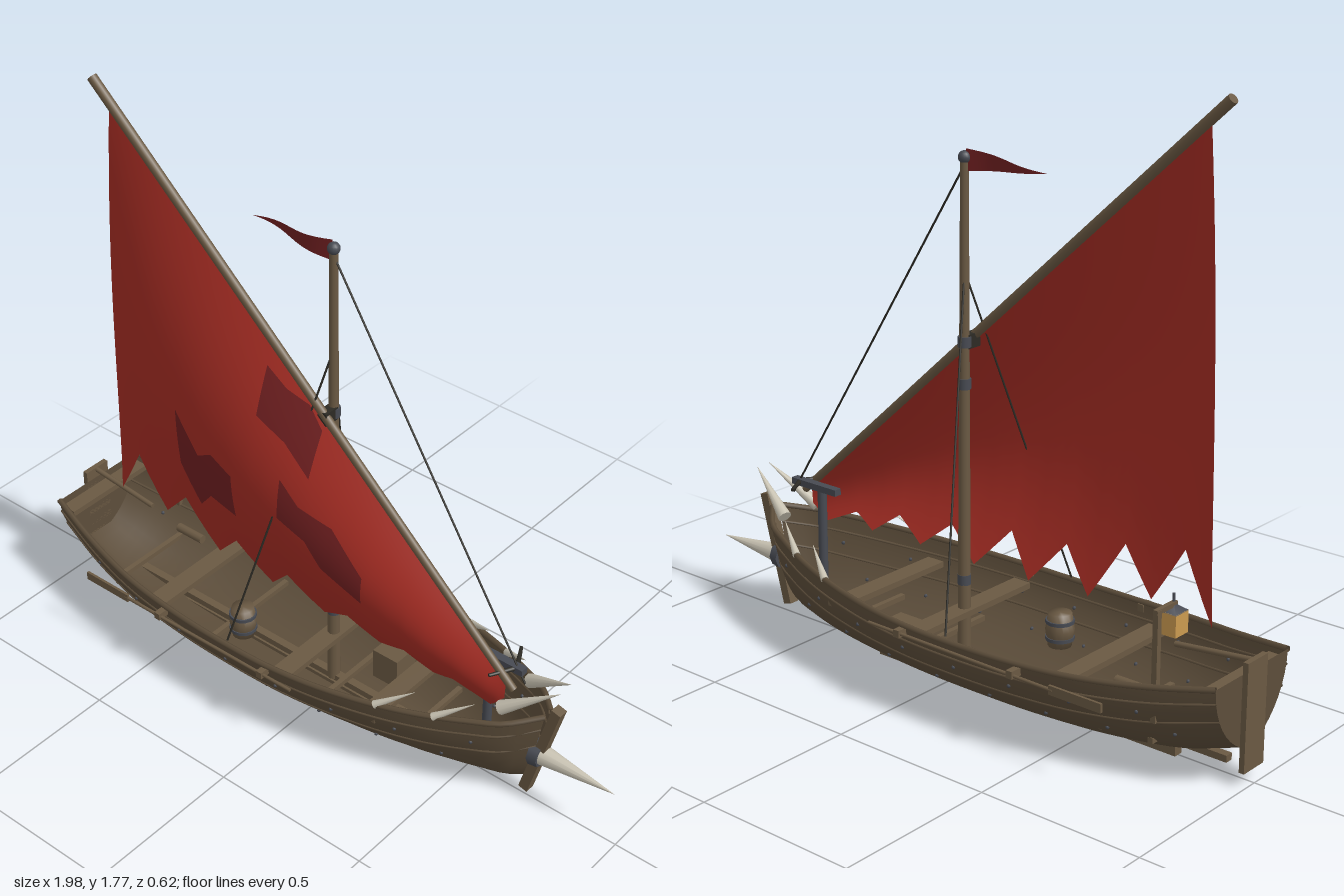
import * as THREE from 'three';

const mat = (name, color, side = THREE.FrontSide) => {
  const m = new THREE.MeshStandardMaterial({ color, side });
  m.name = name;
  return m;
};
const V = (x, y, z) => new THREE.Vector3(x, y, z);

export function createModel() {
  const root = new THREE.Group();
  root.name = 'raidingBoat';
  const hullWood = mat('hullWood', 0x5c4d3a, THREE.DoubleSide);
  const trimWood = mat('trimWood', 0x6a5943);
  const sailRed = mat('sailRed', 0xa42c23, THREE.DoubleSide);
  const darkRed = mat('darkRed', 0x6f1f20, THREE.DoubleSide);
  const bone = mat('bone', 0xc8c2b2);
  const iron = mat('iron', 0x474a52);
  const rope = mat('rope', 0x2c2a24);
  const glow = mat('lanternGlow', 0xcb9a50);

  const add = (name, geo, material, x = 0, y = 0, z = 0) => {
    const m = new THREE.Mesh(geo, material);
    m.name = name;
    m.position.set(x, y, z);
    root.add(m);
    return m;
  };
  const box = (name, material, w, h, d, x, y, z) =>
    add(name, new THREE.BoxGeometry(w, h, d), material, x, y, z);
  const drum = (name, material, r1, r2, h, x, y, z) =>
    add(name, new THREE.CylinderGeometry(r1, r2, h, 14), material, x, y, z);
  // round bar from p (radius r1) to q (radius r2)
  const bar = (name, material, p, q, r1, r2 = r1, sides = 10) => {
    const m = add(name, new THREE.CylinderGeometry(r2, r1, p.distanceTo(q), sides), material);
    m.position.copy(p).lerp(q, 0.5);
    m.quaternion.setFromUnitVectors(V(0, 1, 0), q.clone().sub(p).normalize());
    return m;
  };
  // surface over a grid of points fn(i, j)
  const grid = (nu, nv, fn) => {
    const pos = [], idx = [];
    for (let i = 0; i <= nu; i++) for (let j = 0; j <= nv; j++) {
      pos.push(...fn(i, j));
      if (i < nu && j < nv) {
        const a = i * (nv + 1) + j, b = a + nv + 1;
        idx.push(a, b, a + 1, b, b + 1, a + 1);
      }
    }
    const g = new THREE.BufferGeometry();
    g.setAttribute('position', new THREE.Float32BufferAttribute(pos, 3));
    g.setIndex(idx);
    g.computeVertexNormals();
    return g;
  };

  // Hull: bottom height, sheer height and half width along x
  const stations = [-0.98, -0.8, -0.6, -0.4, -0.2, 0, 0.2, 0.4, 0.55, 0.65, 0.69];
  const lines = new THREE.CubicInterpolant(stations, [
    0.11, 0.315, 0.165, 0.055, 0.287, 0.215, 0.03, 0.268, 0.258, 0.02, 0.258, 0.277,
    0.018, 0.255, 0.283, 0.018, 0.258, 0.278, 0.02, 0.268, 0.252, 0.025, 0.285, 0.2,
    0.04, 0.305, 0.135, 0.06, 0.322, 0.07, 0.075, 0.335, 0.015], 3, new Float32Array(3));
  // a runs from 0 at the bottom to 1 at the sheer
  const hullPoint = (x, a, side, out = 0) => {
    const [b, s, w] = lines.evaluate(x);
    const k = Math.max(0, (x - 0.2) / 0.49);
    const rise = 0.5 * a + 0.5 * (1 - Math.cos(a * Math.PI / 2));
    return V(x + 0.06 * a * k * k, b + (s - b) * rise,
      side * (w * (0.25 + 0.75 * Math.sin(a * Math.PI / 2)) + out));
  };
  const N = 48, R = 8;
  const stationX = i => -0.98 + 1.67 * i / N;
  const ringPoint = (x, j) => j <= R ? hullPoint(x, 1 - j / R, 1) : hullPoint(x, (j - R - 1) / R, -1);
  add('hull', grid(N, 2 * R + 1, (i, j) => ringPoint(stationX(i), j).toArray()), hullWood);
  add('transom', grid(1, R, (i, j) => hullPoint(-0.98, j / R, i ? 1 : -1).toArray()), hullWood);

  for (const s of [1, -1]) {
    // gunwale and plank seams
    for (const [a, r, name] of [[1, 0.009, 'gunwale'], [0.84, 0.004, 'plankSeam'], [0.62, 0.004, 'plankSeam']]) {
      const pts = Array.from({ length: 25 }, (_, i) => hullPoint(-0.98 + 1.67 * i / 24, a, s));
      add(name, new THREE.TubeGeometry(new THREE.CatmullRomCurve3(pts), 60, r, 6), hullWood);
    }
    // hull rivets
    for (let i = 0; i < 8; i++) for (const a of [0.45, 0.74]) {
      const p = hullPoint(-0.85 + 0.19 * i + (a > 0.5 ? 0.08 : 0), a, s);
      add('rivet', new THREE.SphereGeometry(0.006, 6, 5), iron, p.x, p.y, p.z);
    }
    // oar lashed outside the rail
    bar('oarShaft', trimWood, V(-0.57, 0.235, 0.3 * s), V(0.08, 0.24, 0.3 * s), 0.005);
    box('oarBlade', trimWood, 0.17, 0.026, 0.008, -0.642, 0.235, 0.3 * s);
    for (const x of [-0.43, -0.03]) box('oarBracket', trimWood, 0.02, 0.022, 0.04, x, 0.24, 0.29 * s);
    // rail spikes and bow horns
    for (const x of [0.32, 0.47]) {
      const p = hullPoint(x, 1, s);
      bar('railSpike', bone, p, V(p.x + 0.1, p.y + 0.065, p.z - 0.055 * s), 0.012, 0.0005);
    }
    bar('bowHorn', bone, V(0.64, 0.345, 0.07 * s), V(0.8, 0.455, 0.025 * s), 0.021, 0.0005);
    // shroud
    bar('shroud', rope, V(-0.01, 1.2, 0), V(-0.18, 0.265, 0.275 * s), 0.003, 0.003, 6);
  }

  // Keel, stem, rudder and tiller
  box('keel', trimWood, 1.2, 0.03, 0.03, -0.16, 0.015, 0);
  box('stem', trimWood, 0.03, 0.35, 0.032, 0.74, 0.2, 0).rotation.z = -0.26;
  box('rudder', trimWood, 0.016, 0.31, 0.09, -0.988, 0.195, 0);
  bar('tiller', trimWood, V(-0.99, 0.342, 0), V(-0.74, 0.315, 0), 0.008);
  box('keelson', trimWood, 1.5, 0.02, 0.025, -0.17, 0.045, 0);

  // Benches and ribs
  for (const [x, w] of [[-0.505, 0.06], [-0.01, 0.06], [0.29, 0.06]])
    box('bench', trimWood, w, 0.018, 1.86 * lines.evaluate(x)[2], x, 0.205, 0);
  box('sternBench', trimWood, 0.05, 0.018, 0.32, -0.95, 0.285, 0);
  for (const x of [-0.77, -0.62, -0.355, 0.07, 0.355])
    box('rib', trimWood, 0.016, 0.016, 1.3 * lines.evaluate(x)[2], x, 0.1, 0);

  // Ram
  bar('ramSpike', bone, V(0.73, 0.18, 0), V(0.98, 0.18, 0), 0.032, 0.0005, 12);
  bar('ramCollar', iron, V(0.715, 0.18, 0), V(0.745, 0.18, 0), 0.042, 0.038, 8);

  // Mast and yard
  bar('mast', trimWood, V(-0.01, 0.04, 0), V(-0.01, 1.5, 0), 0.02, 0.012);
  for (const y of [0.3, 0.88, 1.0]) drum('mastBand', iron, 0.019, 0.019, 0.03, -0.01, y, 0);
  add('mastCap', new THREE.SphereGeometry(0.018, 14, 10), iron, -0.01, 1.512, 0);
  bar('yard', trimWood, V(-0.83, 1.755, 0.04), V(0.66, 0.4, 0.04), 0.015, 0.012);
  box('yardLashing', rope, 0.03, 0.04, 0.05, -0.01, 1.0, 0.025);
  bar('forestay', rope, V(-0.01, 1.49, 0), V(0.67, 0.4, 0), 0.003, 0.003, 6);

  // Sail: one belly rule shared by the cloth and its patches
  const yardY = x => 1.001 - 0.909 * x;
  const bellyZ = (x, y) => {
    const u = THREE.MathUtils.clamp((x + 0.82) / 1.46, 0, 1);
    const t = THREE.MathUtils.clamp((yardY(x) - y) / (yardY(x) - 0.3), 0, 1);
    return 0.04 + 0.115 * Math.pow(Math.sin(Math.PI * u), 0.7) * Math.sin(Math.PI * t);
  };
  const lerpLine = (line, x) => {
    let i = 1;
    while (i < line.length - 1 && x > line[i][0]) i++;
    const [p, q] = [line[i - 1], line[i]];
    return p[1] + (q[1] - p[1]) * (x - p[0]) / (q[0] - p[0]);
  };
  // cloth between an upper and a lower line
  const cloth = (name, material, top, low, rows, sub, skew, lift) => {
    const keys = [...new Set([...top, ...low].map(p => p[0]))].sort((a, b) => a - b);
    const xs = [keys[0]];
    for (let i = 1; i < keys.length; i++)
      for (let k = 1; k <= sub; k++) xs.push(keys[i - 1] + (keys[i] - keys[i - 1]) * k / sub);
    add(name, grid(xs.length - 1, rows, (i, j) => {
      const t = j / rows, yl = lerpLine(low, xs[i]);
      const x = xs[i] + skew * t * (1 - (xs[i] + 0.825) / 1.46);
      const yt = lerpLine(top, xs[i] + (skew ? skew * (1 - (xs[i] + 0.825) / 1.46) : 0));
      const y = yl + (yt - yl) * t;
      return [x, y, bellyZ(x, y) + lift];
    }), material);
  };
  cloth('sail', sailRed, [[-0.825, yardY(-0.825)], [0.635, yardY(0.635)]],
    [[-0.825, 0.37], [-0.72, 0.555], [-0.62, 0.39], [-0.51, 0.51], [-0.41, 0.34], [-0.305, 0.455],
      [-0.2, 0.33], [-0.1, 0.44], [0, 0.325], [0.12, 0.405], [0.21, 0.33], [0.32, 0.385],
      [0.4, 0.325], [0.48, 0.36], [0.59, 0.31], [0.635, 0.36]], 24, 3, 0.055, 0);
  cloth('sailPatch', darkRed, [[-0.49, 0.86], [-0.4, 0.745], [-0.34, 0.78], [-0.26, 0.745]],
    [[-0.49, 0.665], [-0.425, 0.54], [-0.365, 0.61], [-0.26, 0.595]], 8, 4, 0, 0.005);
  cloth('sailPatch', darkRed, [[-0.083, 0.815], [-0.015, 0.755], [0.095, 0.725], [0.205, 0.61]],
    [[-0.083, 0.69], [0.015, 0.655], [0.07, 0.585], [0.205, 0.525]], 8, 4, 0, 0.005);
  cloth('sailPatch', darkRed, [[-0.187, 1.11], [-0.12, 1.06], [-0.05, 1.03], [0, 0.97]],
    [[-0.187, 0.97], [-0.09, 0.92], [0, 0.84]], 8, 4, 0, 0.005);

  // Pennant, rippling slightly
  add('pennant', grid(12, 1, (i, j) => {
    const t = i / 12;
    return [-0.015 - 0.28 * t, 1.505 + (j ? 1 : -1) * 0.031 * (1 - t), 0.012 * Math.sin(t * 6)];
  }), darkRed);

  // Lantern on its post
  box('lanternPost', trimWood, 0.016, 0.31, 0.016, -0.81, 0.335, -0.185);
  box('lanternArm', trimWood, 0.013, 0.013, 0.09, -0.81, 0.486, -0.15);
  box('lantern', glow, 0.055, 0.062, 0.055, -0.81, 0.437, -0.115);
  add('lanternCap', new THREE.ConeGeometry(0.04, 0.022, 4).rotateY(Math.PI / 4), iron, -0.81, 0.478, -0.115);
  bar('lanternHook', iron, V(-0.81, 0.48, -0.115), V(-0.81, 0.515, -0.115), 0.004);

  // Bolt thrower at the bow
  bar('throwerPost', iron, V(0.55, 0.06, 0), V(0.55, 0.43, 0), 0.014);
  box('throwerStock', iron, 0.18, 0.02, 0.025, 0.575, 0.44, 0);
  for (const s of [1, -1]) bar('throwerArm', rope, V(0.64, 0.442, 0), V(0.6, 0.442, 0.075 * s), 0.008, 0.005);

  // Cargo
  const stave = [[0, 0], [0.034, 0], [0.042, 0.05], [0.034, 0.1], [0, 0.1]].map(p => new THREE.Vector2(...p));
  add('barrel', new THREE.LatheGeometry(stave, 14), trimWood, -0.27, 0.135, 0.11);
  for (const y of [0.16, 0.21]) drum('barrelHoop', iron, 0.042, 0.042, 0.01, -0.27, y, 0.11);
  box('crate', trimWood, 0.09, 0.1, 0.09, 0.14, 0.11, -0.1);
  bar('bedroll', trimWood, V(-0.71, 0.2, -0.08), V(-0.61, 0.2, -0.08), 0.014);

  return root;
}
